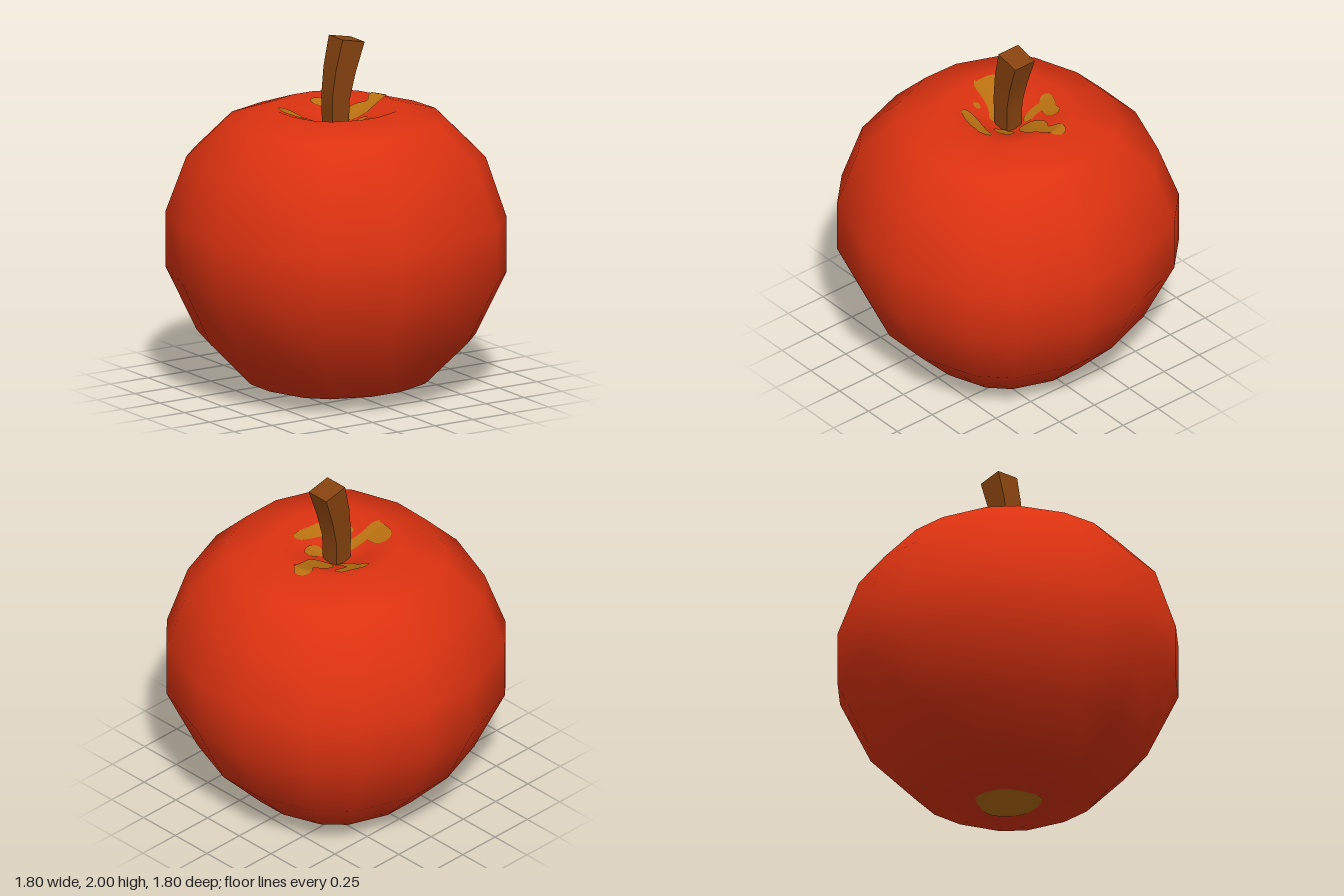
import * as THREE from 'three';
import { mergeVertices } from 'three/addons/utils/BufferGeometryUtils.js';

const red = new THREE.MeshStandardMaterial({ color: 0xdc3210 });
red.name = 'red skin';
const ochre = new THREE.MeshStandardMaterial({ color: 0xba7010, side: THREE.DoubleSide });
ochre.name = 'ochre spots';
const brown = new THREE.MeshStandardMaterial({ color: 0x87430f });
brown.name = 'brown stem';

// Radius and height of each ring, from the bottom hollow to the top hollow
const profile = [
  [0, 0.04], [0.172, 0], [0.51, 0.07], [0.75, 0.32], [0.918, 0.68], [0.918, 0.99],
  [0.805, 1.32], [0.595, 1.535], [0.345, 1.61], [0.15, 1.535], [0, 1.465],
];

// Sixteen directions around the fruit; the diagonal ones reach a little further
const spokes = [];
for (let q = 0; q < 4; q++) {
  [[10.6, 1], [36.9, 1.03], [53.1, 1.03], [79.4, 1]].forEach(([deg, k]) => {
    const a = THREE.MathUtils.degToRad(deg + q * 90);
    spokes.push(new THREE.Vector2(Math.sin(a) * k, Math.cos(a) * k));
  });
}

// Position along the profile for a point, measured on the flat facets
function facetRadius(x, z) {
  for (let i = 0; i < 16; i++) {
    const p = spokes[i], q = spokes[(i + 1) % 16];
    const det = p.x * q.y - p.y * q.x;
    const s = (x * q.y - z * q.x) / det;
    const t = (p.x * z - p.y * x) / det;
    if (s >= -1e-6 && t >= -1e-6) return s + t;
  }
  return 0;
}

// Height of the skin over a chosen run of rings
function skinHeight(x, z, rings) {
  const r = facetRadius(x, z);
  for (let i = 0; i < rings.length - 1; i++) {
    const [r0, y0] = rings[i], [r1, y1] = rings[i + 1];
    if (r <= r1 || i === rings.length - 2) return y0 + ((r - r0) / (r1 - r0)) * (y1 - y0);
  }
}
const topRings = profile.slice(7).reverse();
const bottomRings = profile.slice(0, 3);

function makeMesh(name, geometry, material) {
  const mesh = new THREE.Mesh(geometry, material);
  mesh.name = name;
  return mesh;
}

// Fruit: a lathe whose columns are moved onto the spokes
function makeFruit() {
  const n = profile.length;
  let geo = new THREE.LatheGeometry(profile.map(([r, y]) => new THREE.Vector2(r, y)), 16);
  const pos = geo.attributes.position;
  for (let i = 0; i <= 16; i++) {
    for (let j = 0; j < n; j++) {
      const [r, y] = profile[j];
      const s = spokes[i % 16];
      const tilt = y > 1.2 && y < 1.6 && r > 0.5 ? 0.025 * s.y * r : 0;
      pos.setXYZ(i * n + j, s.x * r, y + tilt, s.y * r);
    }
  }
  geo.deleteAttribute('normal');
  geo.deleteAttribute('uv');
  geo = mergeVertices(geo, 1e-4);
  geo.computeVertexNormals();
  return makeMesh('fruit', geo, red);
}

// Spot: a round-ended ribbon through [x, z, half width], laid on the top hollow
function makeSpot(points) {
  const curve = new THREE.CatmullRomCurve3(points.map((p) => new THREE.Vector3(...p)));
  const geo = new THREE.PlaneGeometry(1, 1, 20, 6);
  const pos = geo.attributes.position;
  for (let i = 0; i < pos.count; i++) {
    const u = THREE.MathUtils.clamp(pos.getX(i) + 0.5, 0, 1);
    const c = curve.getPoint(u), t = curve.getTangent(u);
    const len = Math.hypot(t.x, t.y);
    const w = c.z * Math.sqrt(Math.max(0, 1 - Math.abs(2 * u - 1) ** 5)) * 2 * pos.getY(i);
    const x = c.x - (t.y / len) * w, z = c.y + (t.x / len) * w;
    pos.setXYZ(i, x, skinHeight(x, z, topRings) + 0.006, z);
  }
  geo.computeVertexNormals();
  return makeMesh('topSpot', geo, ochre);
}

// Spot round the bottom hollow
function makeBottomSpot() {
  const geo = new THREE.RingGeometry(0.001, 0.18, 32, 5);
  const pos = geo.attributes.position;
  for (let i = 0; i < pos.count; i++) {
    const a = Math.atan2(pos.getY(i), pos.getX(i));
    const k = 1 + 0.05 * Math.sin(3 * a) + 0.03 * Math.sin(5 * a + 1);
    const x = pos.getX(i) * k, z = pos.getY(i) * k;
    pos.setXYZ(i, x, Math.max(0, skinHeight(x, z, bottomRings) - 0.005), z);
  }
  geo.computeVertexNormals();
  return makeMesh('bottomSpot', geo, ochre);
}

// Stem: a square bar bent to the left and flared at the top
function makeStem() {
  // left x, left y, right x, right y, half depth
  const levels = [
    [-0.055, 1.44, 0.05, 1.44, 0.052],
    [-0.06, 1.66, 0.055, 1.65, 0.056],
    [-0.04, 1.83, 0.09, 1.8, 0.063],
    [0, 2, 0.145, 1.97, 0.07],
  ];
  const geo = new THREE.BoxGeometry(2, 3, 2, 1, 3, 1);
  const pos = geo.attributes.position;
  for (let i = 0; i < pos.count; i++) {
    const [lx, ly, rx, ry, d] = levels[Math.round(pos.getY(i) + 1.5)];
    const right = pos.getX(i) > 0;
    pos.setXYZ(i, right ? rx : lx, right ? ry : ly, pos.getZ(i) * d - 0.002);
  }
  geo.computeVertexNormals();
  return makeMesh('stem', geo, brown);
}

export function createModel() {
  const model = new THREE.Group();
  model.name = 'apple';
  model.add(makeFruit(), makeStem(), makeBottomSpot());
  [
    [[-0.22, -0.17, 0.04], [-0.24, -0.11, 0.06], [-0.25, -0.03, 0.06], [-0.25, 0.01, 0.05]],
    [[-0.32, -0.02, 0.03], [-0.18, -0.02, 0.035], [-0.1, 0.01, 0.035], [-0.06, 0.06, 0.03]],
    [[0, -0.26, 0.03], [0.06, -0.23, 0.04], [0.12, -0.2, 0.04], [0.19, -0.2, 0.04]],
    [[0.06, -0.22, 0.03], [0.05, -0.14, 0.03], [0.06, -0.07, 0.03]],
    [[0.08, -0.04, 0.07], [0.18, -0.04, 0.075], [0.27, -0.04, 0.04], [0.33, -0.07, 0.06], [0.38, -0.06, 0.04]],
    [[-0.18, 0.17, 0.03], [-0.08, 0.19, 0.04], [0.02, 0.21, 0.035], [0.11, 0.22, 0.03]],
    [[0.02, 0.08, 0.04], [0.08, 0.1, 0.04], [0.14, 0.07, 0.03]],
    [[-0.2, 0.07, 0.016], [-0.18, 0.075, 0.018], [-0.155, 0.08, 0.014]],
  ].forEach((points) => model.add(makeSpot(points)));
  return model;
}
